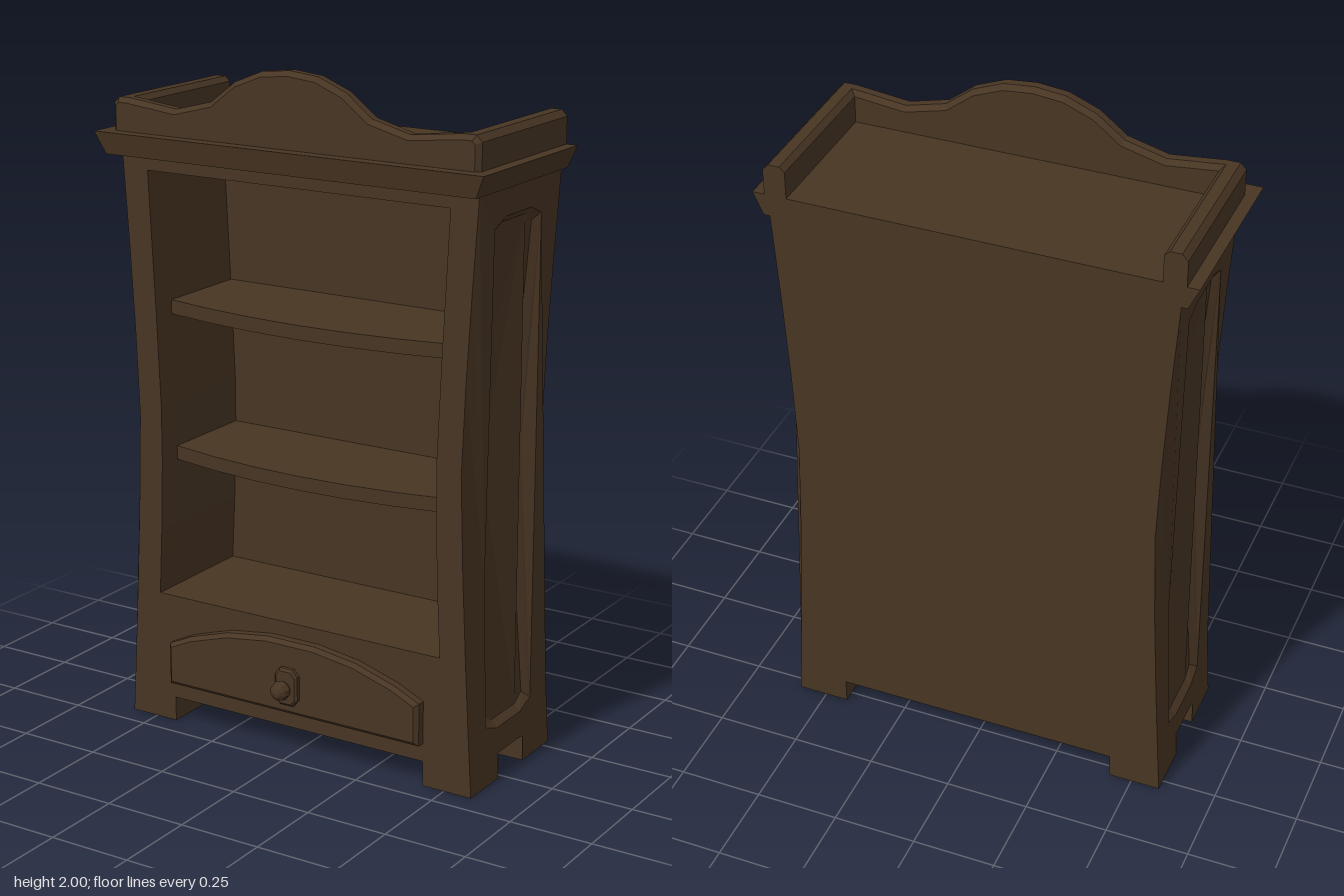
import * as THREE from 'three';

const BACK = -0.285, FRONT = 0.18, TOP = 1.72, FOOT = 0.075, FOOT_X = 0.43;
const ROWS = [0, FOOT, 0.2, 0.4, 0.65, 0.94, 1.2, 1.45, TOP];

// Half width of the waisted carcass at height y
const half = (y) => 0.54 + (y < 0.94
  ? 0.047 * ((0.94 - y) / 0.94) ** 1.3
  : 0.042 * ((y - 0.94) / 0.78) ** 1.3);

const vec2 = (pts) => pts.map(([x, y]) => new THREE.Vector2(x, y));
const shapeOf = (pts, hole) => {
  const s = new THREE.Shape(vec2(pts));
  if (hole) s.holes.push(new THREE.Path(vec2(hole)));
  return s;
};

// Closed band of quads between two loops of equal length
function band(a, b) {
  const pos = [];
  a.forEach((p, i) => {
    const j = (i + 1) % a.length;
    for (const q of [p, a[j], b[j], p, b[j], b[i]]) pos.push(...q);
  });
  const g = new THREE.BufferGeometry();
  g.setAttribute('position', new THREE.Float32BufferAttribute(pos, 3));
  g.computeVertexNormals();
  return g;
}

// Mirror a right-hand outline (bottom to top) to a full symmetric one
const mirrored = (pts) => [...pts, ...pts.filter(([x]) => x !== 0).reverse().map(([x, y]) => [-x, y])];

export function createModel() {
  const group = new THREE.Group();
  const wood = new THREE.MeshStandardMaterial({ color: 0x483523, flatShading: true, side: THREE.DoubleSide });
  wood.name = 'darkWood';
  const add = (name, geo, x = 0, y = 0, z = 0) => {
    const m = new THREE.Mesh(geo, wood);
    m.name = name;
    m.position.set(x, y, z);
    group.add(m);
    return m;
  };
  // Extruded plate with a chamfered rim; pts give the outer outline
  const plate = (name, pts, z0, z1, bevel) => add(name, new THREE.ExtrudeGeometry(shapeOf(pts), {
    depth: z1 - z0 - bevel * 2, bevelEnabled: true, bevelSegments: 1,
    bevelSize: bevel, bevelThickness: bevel, bevelOffset: -bevel,
  }), 0, 0, z0 + bevel);

  // Front frame and back board, with the gap between the feet
  const outline = mirrored([[FOOT_X, FOOT], [FOOT_X, 0], ...ROWS.map((y) => [half(y), y])]);
  const opening = mirrored([[0.48, 0.4], [0.47, 0.6], [0.463, 0.82], [0.463, 0.98],
    [0.475, 1.27], [0.495, 1.675]]);
  add('frontFrame', new THREE.ShapeGeometry(shapeOf(outline, opening)), 0, 0, FRONT);
  add('backBoard', new THREE.ShapeGeometry(shapeOf(outline)), 0, 0, BACK).rotation.y = Math.PI;

  // Shelf compartment
  const inner = -0.2;
  add('compartmentWalls', band(opening.map(([x, y]) => [x, y, inner]), opening.map(([x, y]) => [x, y, FRONT])));
  add('compartmentBack', new THREE.ShapeGeometry(shapeOf(opening)), 0, 0, inner);

  // Shelves with a bowed front edge
  for (const [y, w] of [[0.8, 0.464], [1.242, 0.474]]) {
    const pts = [[-w, -inner], [w, -inner]];
    for (let i = 0; i <= 6; i++) {
      const t = 1 - i / 3;
      pts.push([w * t, -(0.105 + 0.055 * (1 - t * t))]);
    }
    const geo = new THREE.ExtrudeGeometry(shapeOf(pts), { depth: 0.042, bevelEnabled: false });
    geo.rotateX(-Math.PI / 2);
    add('shelf', geo, 0, y, 0);
  }

  // Recessed side panel outline as [z, y]
  const panelLoop = (inset) => {
    const c = -0.0525;
    const rows = [[0.132, 0.175 + inset], [0.113, 0.6], [0.108, 0.94], [0.112, 1.25], [0.132, 1.61 - inset]];
    const right = [[0.07, 0.152 + inset], ...rows.map(([w, y]) => [w - inset, y]), [0.07, 1.635 - inset]];
    return mirrored(right).map(([z, y]) => [c + z, y]);
  };
  const sideOutline = [
    ...ROWS.map((y) => [FRONT, y]), ...[...ROWS].reverse().map((y) => [BACK, y]),
    [-0.125, 0], [-0.125, FOOT], [0.02, FOOT], [0.02, 0],
  ];

  for (const s of [1, -1]) {
    const side = s > 0 ? 'left' : 'right';
    // Wrap a flat [z, y] shape onto the waisted side
    const wrap = (pts, hole, depth) => {
      const flip = (l) => l && l.map(([z, y]) => [-s * z, y]);
      const g = new THREE.ShapeGeometry(shapeOf(flip(pts), flip(hole)));
      const p = g.attributes.position;
      for (let i = 0; i < p.count; i++) {
        const a = p.getX(i), y = p.getY(i);
        p.setXYZ(i, s * (half(y) - depth), y, -s * a);
      }
      g.computeVertexNormals();
      return g;
    };
    const outer = panelLoop(0), inset = panelLoop(0.02), d = 0.018;
    add(side + 'Side', wrap(sideOutline, outer, 0));
    add(side + 'Panel', wrap(inset, null, d));
    const rim = outer.map(([z, y]) => [s * half(y), y, z]);
    const bed = inset.map(([z, y]) => [s * (half(y) - d), y, z]);
    add(side + 'PanelBevel', s > 0 ? band(bed, rim) : band(rim, bed));

    // Inner walls of the hollow feet
    for (const [z0, z1, gap] of [[0.02, FRONT, 0.02], [BACK, -0.125, -0.125]]) {
      const w = half(0) - FOOT_X;
      add('footInnerWall', new THREE.PlaneGeometry(z1 - z0, FOOT), s * FOOT_X, FOOT / 2, (z0 + z1) / 2)
        .rotation.y = -s * Math.PI / 2;
      add('footCrossWall', new THREE.PlaneGeometry(w, FOOT), s * (FOOT_X + w / 2), FOOT / 2, gap)
        .rotation.y = gap > 0 ? Math.PI : 0;
    }

    // Gallery side rail with chamfered top
    const rail = shapeOf([[0.53, 1.78], [0.595, 1.78], [0.595, 1.862], [0.578, 1.88], [0.545, 1.88], [0.53, 1.865]]
      .map(([x, y]) => [s * x, y]));
    add(side + 'GalleryRail', new THREE.ExtrudeGeometry(rail, { depth: 0.465, bevelEnabled: false }), 0, 0, BACK);
  }

  add('underside', new THREE.PlaneGeometry(half(FOOT) * 2, FRONT - BACK), 0, FOOT, (FRONT + BACK) / 2)
    .rotation.x = Math.PI / 2;

  // Flared cornice, flush at the back
  const cornice = new THREE.BoxGeometry(1.26, 0.065, 0.533);
  const cp = cornice.attributes.position;
  for (let i = 0; i < cp.count; i++) {
    if (cp.getY(i) > 0) continue;
    cp.setX(i, Math.sign(cp.getX(i)) * 0.6);
    if (cp.getZ(i) > 0) cp.setZ(i, cp.getZ(i) - 0.015);
  }
  cornice.computeVertexNormals();
  add('cornice', cornice, 0, TOP + 0.0325, BACK + 0.2665);

  // Arched gallery front
  plate('galleryFront', mirrored([[0.595, 1.77], [0.595, 1.862], [0.578, 1.88], [0.54, 1.88], [0.38, 1.862],
    [0.26, 1.893], [0.18, 1.955], [0.09, 1.991], [0, 2]]), 0.155, 0.208, 0.014);

  // Drawer front, handle plate and knob
  plate('drawerFront', mirrored([[0.43, 0.13], [0.43, 0.258], [0.35, 0.295], [0.22, 0.335], [0.08, 0.355]]),
    0.165, 0.216, 0.012);
  plate('handlePlate', mirrored([[0.022, 0.165], [0.038, 0.185], [0.038, 0.258], [0.022, 0.278]]),
    0.21, 0.235, 0.007);
  const knob = new THREE.LatheGeometry(vec2([[0.012, 0], [0.012, 0.012], [0.026, 0.02], [0.03, 0.032],
    [0.026, 0.047], [0.014, 0.057], [0, 0.06]]), 10);
  knob.rotateX(Math.PI / 2);
  add('knob', knob, 0, 0.22, 0.225);

  return group;
}
